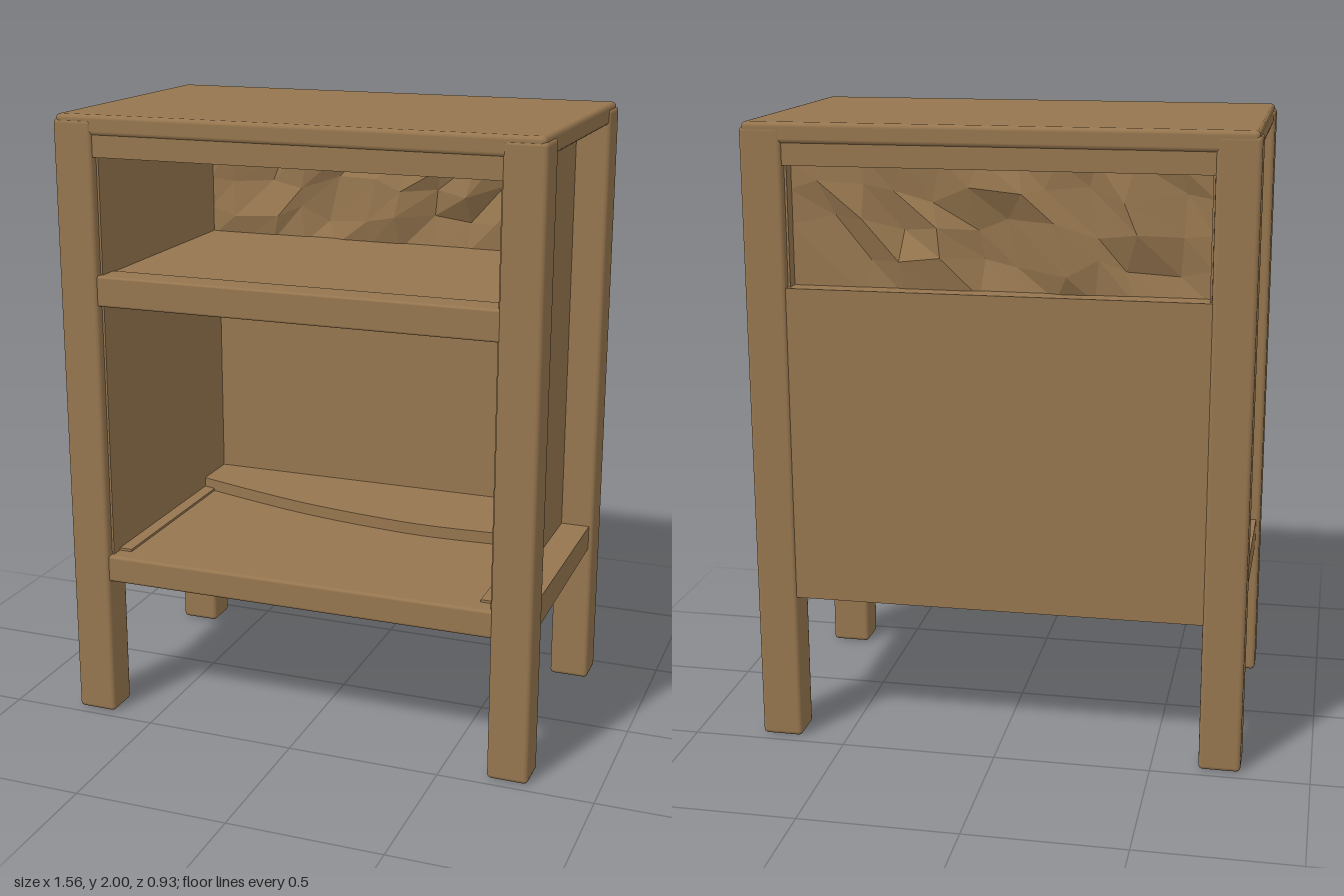
import * as THREE from 'three';
import { RoundedBoxGeometry } from 'three/addons/geometries/RoundedBoxGeometry.js';

const wood = new THREE.MeshStandardMaterial({ color: 0x96764f });
wood.name = 'brown wood';
const sheetWood = new THREE.MeshStandardMaterial({ color: 0x96764f, flatShading: true, side: THREE.DoubleSide });
sheetWood.name = 'brown wood sheet';

// Board given by its minimum and maximum corners; round = 0 keeps sharp edges
function board(name, [x0, y0, z0], [x1, y1, z1], round = 0) {
  const w = x1 - x0, h = y1 - y0, d = z1 - z0;
  const geo = round ? new RoundedBoxGeometry(w, h, d, 2, round) : new THREE.BoxGeometry(w, h, d);
  geo.translate((x0 + x1) / 2, (y0 + y1) / 2, (z0 + z1) / 2);
  const mesh = new THREE.Mesh(geo, wood);
  mesh.name = name;
  return mesh;
}

// Wrinkled sheet closing the back of the upper compartment
function crumpledSheet() {
  let seed = 11;
  const rand = () => (seed = (seed * 16807) % 2147483647) / 2147483647 - 0.5;
  const geo = new THREE.PlaneGeometry(1.3, 0.42, 11, 4);
  const p = geo.attributes.position;
  for (let i = 0; i < p.count; i++) {
    const x = p.getX(i), y = p.getY(i);
    const inside = Math.abs(x) < 0.64 && Math.abs(y) < 0.2;
    const jx = rand(), jy = rand(), jz = rand();
    if (inside) p.setXYZ(i, x + jx * 0.07, y + jy * 0.06, jz * 0.07);
  }
  geo.computeVertexNormals();
  const mesh = new THREE.Mesh(geo, sheetWood);
  mesh.name = 'crumpledBackSheet';
  mesh.position.set(0, 1.685, -0.395);
  return mesh;
}

// Raised floor section at the back with a bowed front edge
function raisedFloor() {
  const shape = new THREE.Shape();
  shape.moveTo(-0.65, 0.45);
  shape.lineTo(-0.65, 0.27);
  shape.splineThru([[-0.42, 0.2], [-0.19, 0.14], [0.05, 0.1], [0.29, 0.08], [0.65, 0.1]]
    .map(([x, y]) => new THREE.Vector2(x, y)));
  shape.lineTo(0.65, 0.45);
  const geo = new THREE.ExtrudeGeometry(shape, { depth: 0.05, bevelEnabled: false, curveSegments: 20 });
  geo.rotateX(-Math.PI / 2);
  geo.translate(0, 0.55, 0);
  const mesh = new THREE.Mesh(geo, wood);
  mesh.name = 'raisedBackFloor';
  return mesh;
}

export function createModel() {
  const cabinet = new THREE.Group();
  cabinet.name = 'cabinet';

  // Top board
  cabinet.add(board('topBoard', [-0.775, 1.935, -0.465], [0.775, 2, 0.465], 0.015));

  // Four posts running from the floor to the top, and the recessed side panels
  for (const s of [-1, 1]) {
    const side = s > 0 ? 'left' : 'right';
    const span = (a, b) => (s > 0 ? [a, b] : [-b, -a]);
    const [p0, p1] = span(0.65, 0.782);
    cabinet.add(board(side + 'FrontPost', [p0, 0, 0.348], [p1, 1.985, 0.468], 0.014));
    cabinet.add(board(side + 'BackPost', [p0, 0, -0.466], [p1, 1.985, -0.346], 0.014));
    const [q0, q1] = span(0.643, 0.672);
    cabinet.add(board(side + 'SidePanel', [q0, 0.5, -0.44], [q1, 1.95, 0.44]));
  }

  // Bottom board, with ledges outside the side panels and an underside rising to the back
  const bottom = new THREE.Group();
  bottom.name = 'bottomBoard';
  bottom.add(board('bottomCore', [-0.66, 0.47, -0.455], [0.66, 0.56, 0.462], 0.01));
  for (const s of [-1, 1]) {
    bottom.add(board('sideLedge', [s > 0 ? 0.6 : -0.768, 0.47, -0.4], [s > 0 ? 0.768 : -0.6, 0.568, 0.4]));
  }
  for (const { geometry } of bottom.children) {
    const p = geometry.attributes.position;
    for (let i = 0; i < p.count; i++) {
      if (p.getY(i) < 0.51) p.setY(i, p.getY(i) + (0.46 - p.getZ(i)) * 0.02);
    }
  }
  cabinet.add(bottom, raisedFloor());

  // Front and back rails under the top
  cabinet.add(board('frontTopRail', [-0.66, 1.87, 0.36], [0.66, 1.98, 0.46]));
  cabinet.add(board('backTopRail', [-0.66, 1.87, -0.458], [0.66, 1.98, -0.36]));

  // Shelf between the two compartments, with its front rail
  cabinet.add(board('middleShelf', [-0.65, 1.41, -0.45], [0.65, 1.495, 0.4]));
  cabinet.add(board('middleRail', [-0.66, 1.4, 0.36], [0.66, 1.498, 0.462], 0.008));

  // Back wall of the lower compartment and the sheet above it
  cabinet.add(board('backPanel', [-0.66, 0.485, -0.46], [0.66, 1.495, -0.435]));
  cabinet.add(crumpledSheet());

  return cabinet;
}
